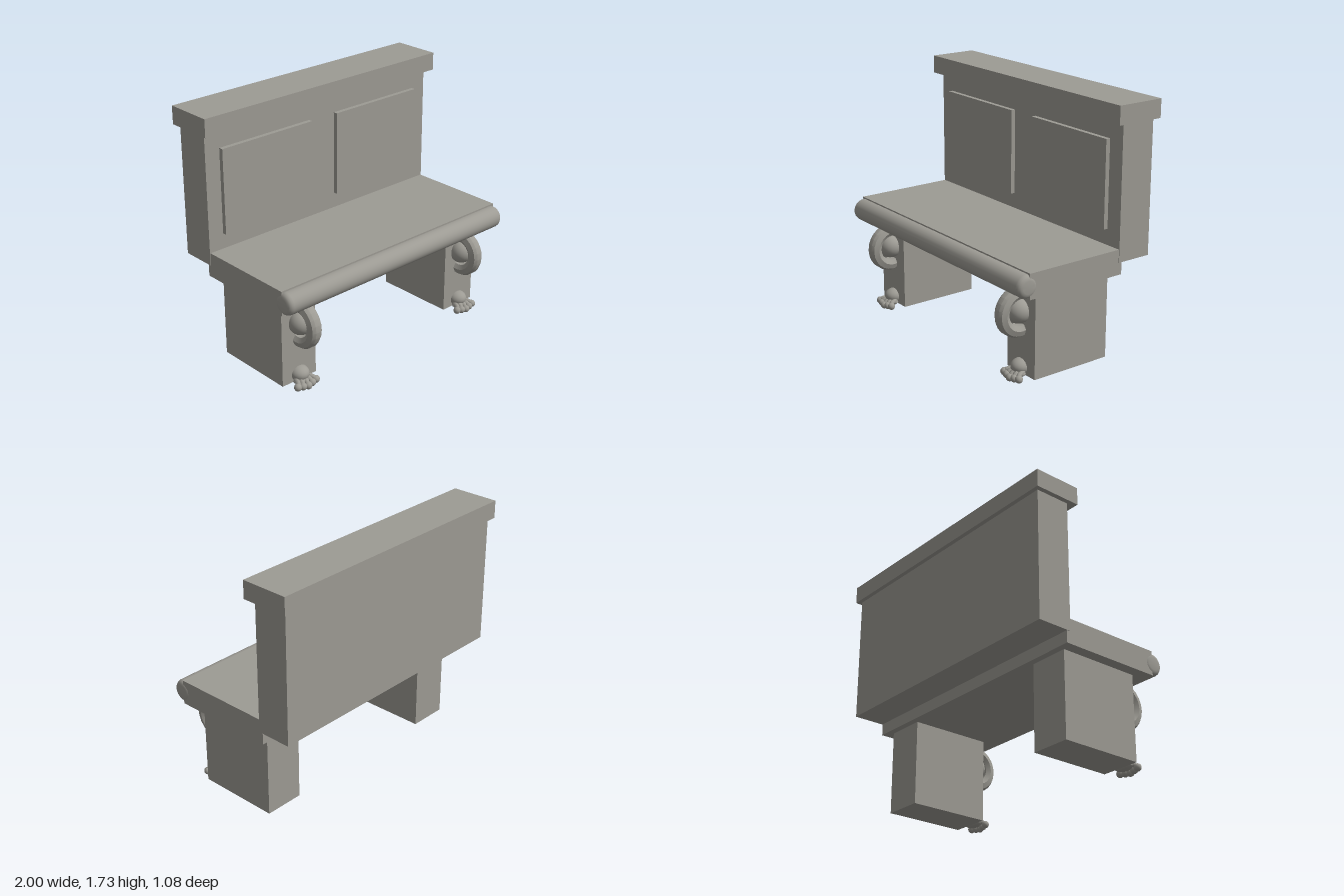
import * as THREE from 'three';
import { toCreasedNormals } from 'three/addons/utils/BufferGeometryUtils.js';

const stone = new THREE.MeshStandardMaterial({ color: 0x9d9b94 });
stone.name = 'warm grey stone';

function add(parent, name, geometry, x = 0, y = 0, z = 0) {
  const mesh = new THREE.Mesh(geometry, stone);
  mesh.name = name;
  mesh.position.set(x, y, z);
  parent.add(mesh);
  return mesh;
}

// Box given by its limits on each axis
function block(parent, name, x0, x1, y0, y1, z0, z1) {
  return add(parent, name, new THREE.BoxGeometry(x1 - x0, y1 - y0, z1 - z0),
    (x0 + x1) / 2, (y0 + y1) / 2, (z0 + z1) / 2);
}

// Profile of [radius, offset] pairs turned around the x axis
function turned(points, segments) {
  const geo = new THREE.LatheGeometry(points.map(p => new THREE.Vector2(...p)), segments);
  geo.rotateZ(-Math.PI / 2);
  return toCreasedNormals(geo, 0.6);
}

function createRoll() {
  const r = 0.077, half = 0.967, bevel = 0.035, points = [[0, -half]];
  for (let i = 0; i <= 4; i++) {
    const a = (i / 4) * Math.PI / 2;
    points.push([r - bevel + bevel * Math.sin(a), -half + bevel - bevel * Math.cos(a)]);
  }
  const mirrored = points.map(([a, b]) => [a, -b]).reverse();
  return turned([...points, ...mirrored], 28);
}

// Clawed foot: sloping instep with five fanned toes
function createFoot() {
  const foot = new THREE.Group();
  foot.name = 'foot';
  const instep = add(foot, 'instep', new THREE.SphereGeometry(1, 16, 12), 0, 0.085, 0.345);
  instep.scale.set(0.064, 0.052, 0.07);
  const pad = add(foot, 'footPad', new THREE.SphereGeometry(1, 16, 10), 0, 0.05, 0.375);
  pad.scale.set(0.07, 0.025, 0.045);
  for (let i = -2; i <= 2; i++) {
    const z = 0.433 - 0.007 * Math.abs(i);
    const y = 0.027 + 0.005 * Math.abs(i);
    const tip = new THREE.Vector3(i * 0.038, y, z);
    const knuckle = new THREE.Vector3(i * 0.032, 0.052, 0.41);
    const root = new THREE.Vector3(i * 0.022, 0.062, 0.36);
    const curve = new THREE.CatmullRomCurve3([root, knuckle, tip]);
    add(foot, 'toe', new THREE.TubeGeometry(curve, 6, 0.017, 8));
    add(foot, 'toeTip', new THREE.SphereGeometry(0.026, 12, 8), tip.x, tip.y, tip.z);
  }
  return foot;
}

function createLeg(side) {
  const leg = new THREE.Group();
  leg.name = side > 0 ? 'leftLeg' : 'rightLeg';
  leg.position.x = side * 0.745;
  block(leg, 'legBlock', -0.14, 0.14, 0.035, 0.625, -0.24, 0.345);
  // Bevelled ring with a ball at its centre, half sunk in the leg
  const ring = turned([
    [0.09, -0.03], [0.12, -0.05], [0.155, -0.038], [0.168, -0.018],
    [0.168, 0.018], [0.155, 0.038], [0.12, 0.05], [0.09, 0.03], [0.09, -0.03],
  ], 24);
  add(leg, 'scrollRing', ring, 0, 0.46, 0.37);
  add(leg, 'scrollBall', new THREE.SphereGeometry(0.083, 18, 14), 0, 0.465, 0.368);
  leg.add(createFoot());
  return leg;
}

export function createModel() {
  const bench = new THREE.Group();
  bench.name = 'stoneBench';

  // Backrest with its cap and raised panels
  block(bench, 'backrest', -0.967, 0.967, 0.705, 1.61, -0.508, -0.26);
  block(bench, 'backrestCap', -1, 1, 1.608, 1.732, -0.538, -0.2);
  for (const side of [-1, 1]) {
    const [a, b] = side < 0 ? [-0.855, -0.112] : [0.107, 0.85];
    block(bench, 'backPanel', a, b, 0.9, 1.49, -0.265, -0.229);
  }

  // Seat slab with a rolled front edge
  block(bench, 'seat', -0.963, 0.963, 0.622, 0.792, -0.285, 0.45);
  add(bench, 'seatRoll', createRoll(), 0, 0.706, 0.461);

  for (const side of [-1, 1]) bench.add(createLeg(side));
  return bench;
}
